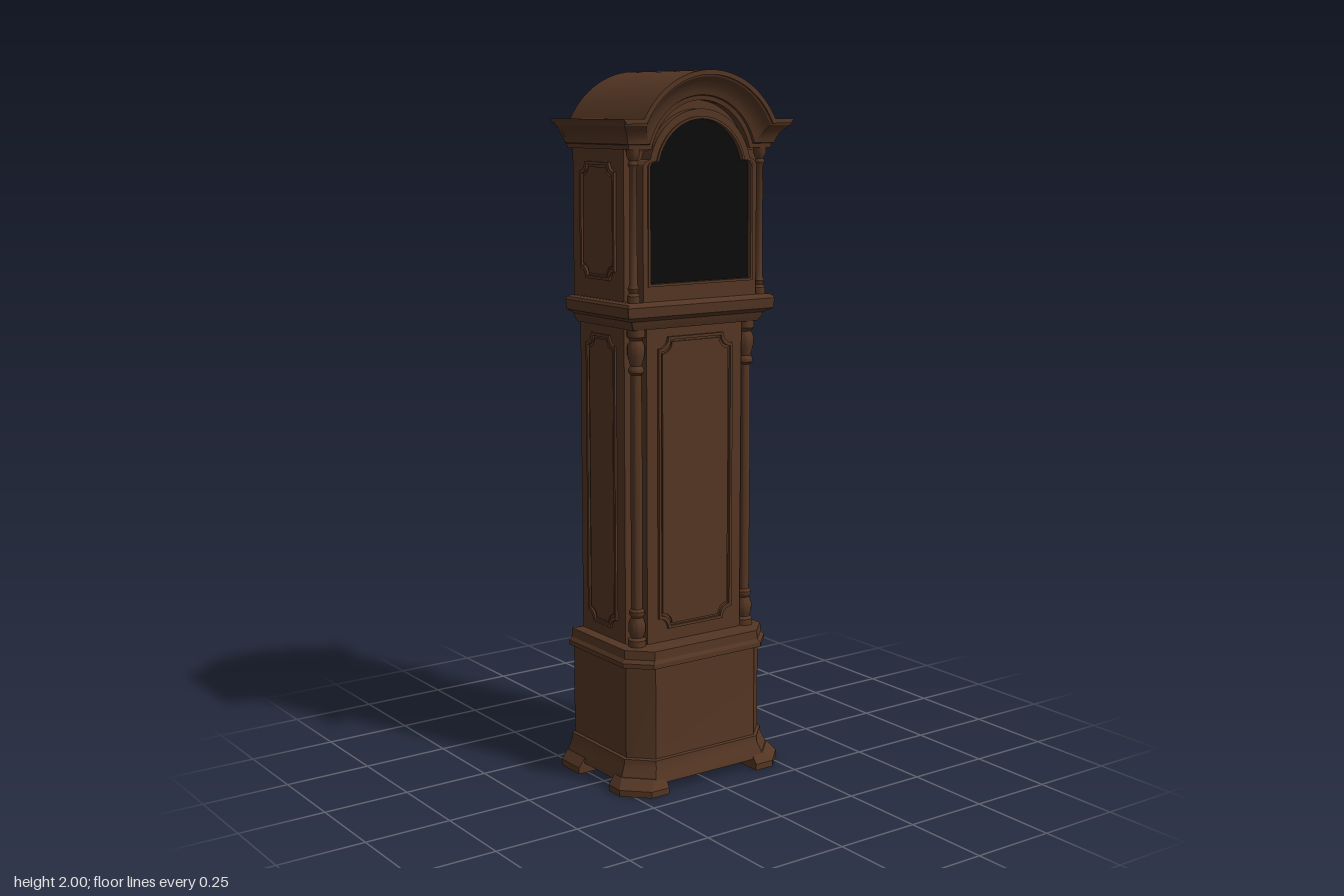
import * as THREE from 'three';
import { toCreasedNormals } from 'three/addons/utils/BufferGeometryUtils.js';

const wood = new THREE.MeshStandardMaterial({ color: 0x533523 });
wood.name = 'darkWood';
const black = new THREE.MeshStandardMaterial({ color: 0x0b0b0b });
black.name = 'blackGlass';

export function createModel() {
  const model = new THREE.Group();
  model.name = 'longcaseClock';

  function add(name, geo, mat = wood, parent = model) {
    const mesh = new THREE.Mesh(geo, mat);
    mesh.name = name;
    parent.add(mesh);
    return mesh;
  }
  // Box given by its limits
  function box(name, x0, x1, y0, y1, z0, z1) {
    const m = add(name, new THREE.BoxGeometry(x1 - x0, y1 - y0, z1 - z0));
    m.position.set((x0 + x1) / 2, (y0 + y1) / 2, (z0 + z1) / 2);
    return m;
  }
  // Skin through cross-section rings, bottom to top
  function loft(rings, closed) {
    const pos = [];
    const tri = (...pts) => pts.forEach(p => pos.push(...p));
    const n = rings[0].length;
    for (let i = 0; i + 1 < rings.length; i++) {
      for (let j = 0; j < (closed ? n : n - 1); j++) {
        const k = (j + 1) % n, lo = rings[i], hi = rings[i + 1];
        tri(lo[j], lo[k], hi[k]);
        tri(lo[j], hi[k], hi[j]);
      }
    }
    if (closed) {
      const lo = rings[0], hi = rings[rings.length - 1];
      for (let j = 1; j + 1 < n; j++) {
        tri(lo[0], lo[j + 1], lo[j]);
        tri(hi[0], hi[j], hi[j + 1]);
      }
    }
    const g = new THREE.BufferGeometry();
    g.setAttribute('position', new THREE.Float32BufferAttribute(pos, 3));
    g.computeVertexNormals();
    return toCreasedNormals(g, 0.4);
  }
  // Plan outline with cut front corners
  const plan = ([y, w, front, c, back]) => [
    [-w, y, back], [-w, y, front - c], [-w + c, y, front],
    [w - c, y, front], [w, y, front - c], [w, y, back]];
  const stack = (name, rows) => add(name, loft(rows.map(plan), true));
  const extrude = (shape, z0, z1) => {
    const g = new THREE.ExtrudeGeometry(shape, { depth: z1 - z0, bevelEnabled: false, curveSegments: 32 });
    g.translate(0, 0, z0);
    return toCreasedNormals(g, 0.4);
  };
  const toShape = pts => new THREE.Shape(pts.map(p => new THREE.Vector2(p[0], p[1])));

  // Base with plinth and top moulding
  stack('base', [
    [0.03, 0.262, 0.176, 0.07, -0.178], [0.045, 0.258, 0.172, 0.07, -0.178],
    [0.075, 0.244, 0.16, 0.065, -0.178], [0.092, 0.242, 0.158, 0.063, -0.178],
    [0.095, 0.234, 0.151, 0.06, -0.178], [0.358, 0.234, 0.151, 0.06, -0.178],
    [0.362, 0.25, 0.163, 0.062, -0.178], [0.375, 0.25, 0.163, 0.062, -0.178],
    [0.385, 0.242, 0.157, 0.061, -0.178], [0.41, 0.24, 0.155, 0.06, -0.178],
    [0.413, 0.215, 0.12, 0.05, -0.165]]);

  // Bracket feet
  for (const s of [1, -1]) {
    const side = s > 0 ? 'left' : 'right';
    const foot = (out) => [
      [0.155, 0.07], [0.28 + out, 0.07], [0.28 + out, 0.125 + out],
      [0.215 + out, 0.19 + out], [0.155, 0.19 + out]];
    const back = (out) => [
      [0.2, -0.178], [0.28 + out, -0.178], [0.28 + out, -0.085], [0.2, -0.085]];
    for (const [name, f] of [['FrontFoot', foot], ['BackFoot', back]]) {
      const rings = [[0, 0], [0.018, 0], [0.045, -0.02]].map(([y, o]) => {
        const r = f(o).map(([x, z]) => [s * x, y, z]);
        return s > 0 ? r.reverse() : r;
      });
      add(side + name, loft(rings, true));
    }
  }

  // Trunk and its door
  box('trunk', -0.21, 0.21, 0.41, 1.32, -0.165, 0.055);
  box('trunkFront', -0.163, 0.163, 0.41, 1.32, 0.05, 0.095);

  // Panel outline with scooped corners
  function scooped(w, h, r, Type = THREE.Shape) {
    const p = new Type();
    p.moveTo(-w + r, -h);
    p.lineTo(w - r, -h);
    p.absarc(w, -h, r, Math.PI, Math.PI / 2, true);
    p.lineTo(w, h - r);
    p.absarc(w, h, r, -Math.PI / 2, -Math.PI, true);
    p.lineTo(-w + r, h);
    p.absarc(-w, h, r, 0, -Math.PI / 2, true);
    p.lineTo(-w, -h + r);
    p.absarc(-w, -h, r, Math.PI / 2, 0, true);
    return p;
  }
  function panel(name, w, h, r) {
    const g = new THREE.Group();
    g.name = name;
    const rim = scooped(w, h, r);
    rim.holes.push(scooped(w - 0.008, h - 0.008, r, THREE.Path));
    add(name + 'Rim', extrude(rim, 0, 0.008), wood, g);
    add(name + 'Field', extrude(scooped(w - 0.014, h - 0.014, r), 0, 0.005), wood, g);
    model.add(g);
    return g;
  }
  panel('doorPanel', 0.127, 0.415, 0.032).position.set(0, 0.865, 0.095);
  for (const s of [1, -1]) {
    const side = s > 0 ? 'left' : 'right';
    const low = panel(side + 'TrunkPanel', 0.073, 0.418, 0.028);
    low.position.set(s * 0.208, 0.863, -0.057);
    low.rotation.y = s * Math.PI / 2;
    const high = panel(side + 'HoodPanel', 0.085, 0.16, 0.026);
    high.position.set(s * 0.226, 1.595, -0.042);
    high.rotation.y = s * Math.PI / 2;
  }

  // Turned columns
  const turned = (pts) => toCreasedNormals(
    new THREE.LatheGeometry(pts.map(([r, y]) => new THREE.Vector2(r, y)), 20), 0.6);
  const trunkColumn = turned([
    [0, 0.41], [0.026, 0.41], [0.026, 0.43], [0.018, 0.437], [0.024, 0.455], [0.024, 0.475],
    [0.017, 0.495], [0.022, 0.503], [0.022, 0.512], [0.016, 0.52], [0.0165, 0.9], [0.015, 1.18],
    [0.022, 1.187], [0.022, 1.196], [0.016, 1.205], [0.024, 1.235], [0.024, 1.26],
    [0.017, 1.275], [0.025, 1.285], [0.025, 1.32], [0, 1.32]]);
  const hoodColumn = turned([
    [0, 1.38], [0.018, 1.38], [0.018, 1.4], [0.012, 1.408], [0.016, 1.42], [0.011, 1.43],
    [0.0095, 1.74], [0.015, 1.75], [0.011, 1.76], [0.018, 1.775], [0.018, 1.8], [0, 1.8]]);
  for (const s of [1, -1]) {
    const side = s > 0 ? 'left' : 'right';
    add(side + 'TrunkColumn', trunkColumn).position.set(s * 0.188, 0, 0.08);
    add(side + 'HoodColumn', hoodColumn).position.set(s * 0.214, 0, 0.107);
  }

  // Moulding between trunk and hood
  stack('waistMoulding', [
    [1.305, 0.213, 0.106, 0.001, -0.175], [1.318, 0.222, 0.112, 0.001, -0.175],
    [1.33, 0.226, 0.116, 0.001, -0.175], [1.342, 0.248, 0.133, 0.001, -0.178],
    [1.37, 0.251, 0.136, 0.001, -0.178], [1.378, 0.246, 0.131, 0.001, -0.178],
    [1.382, 0.236, 0.125, 0.001, -0.17]]);

  // Arched outline of the cornice, dropped by d
  const CY = 1.75, R = 0.25;
  function arch(d, halfWidth) {
    const y = 1.87 - d, r = R - d;
    const a = Math.asin((y - CY) / r);
    const pts = [[-halfWidth, y]];
    for (let i = 0; i <= 32; i++) {
      const t = Math.PI - a - (Math.PI - 2 * a) * i / 32;
      pts.push([r * Math.cos(t), CY + r * Math.sin(t)]);
    }
    pts.push([halfWidth, y]);
    return pts;
  }

  // Hood body, tympanum and back board
  const bodyArch = arch(0.02, 0.226);
  add('hoodBody', extrude(toShape([...bodyArch, [0.226, 1.38], [-0.226, 1.38]]), -0.172, 0.08));
  add('tympanum', extrude(toShape([...arch(0.07, 0.22), [0.22, 1.785], [-0.22, 1.785]]), 0.07, 0.1));
  add('backBoard', extrude(toShape([...arch(0.005, 0.28), [0.235, 1.79], [-0.235, 1.79]]), -0.183, -0.17));

  // Roof shell and cove moulding
  add('roof', extrude(toShape([...arch(0, 0.285), ...arch(0.013, 0.276).reverse()]), -0.194, 0.17));
  const cove = [[0.08, -0.04], [0.08, 0.004], [0.068, 0.006], [0.066, 0.012], [0.055, 0.015],
    [0.04, 0.022], [0.027, 0.033], [0.018, 0.043], [0.008, 0.047]];
  add('cornice', loft(cove.map(([d, out]) => {
    const w = 0.235 + out, z = 0.12 + out;
    const ring = arch(d, w).map(([x, y]) => [x, y, z]);
    return [[-w, 1.87 - d, -0.178], ...ring, [w, 1.87 - d, -0.178]];
  }), false));

  // Arched hood door with glass
  function doorOutline(w, bottom, r, Type = THREE.Shape) {
    const p = new Type();
    p.moveTo(-w, bottom);
    p.lineTo(w, bottom);
    p.lineTo(w, 1.745);
    p.quadraticCurveTo(w - 0.004, 1.758, r * 0.975, 1.725 + r * 0.222);
    p.absarc(0, 1.725, r, 0.224, Math.PI - 0.224, false);
    p.quadraticCurveTo(-w + 0.004, 1.758, -w, 1.745);
    p.lineTo(-w, bottom);
    return p;
  }
  const frame = doorOutline(0.192, 1.382, 0.172);
  frame.holes.push(doorOutline(0.17, 1.43, 0.145, THREE.Path));
  add('hoodDoorFrame', extrude(frame, 0.075, 0.122));
  add('glass', extrude(doorOutline(0.172, 1.428, 0.147), 0.105, 0.112), black);
  const bead = doorOutline(0.177, 1.423, 0.152);
  bead.holes.push(doorOutline(0.17, 1.43, 0.145, THREE.Path));
  add('glassBead', extrude(bead, 0.12, 0.126));

  return model;
}
